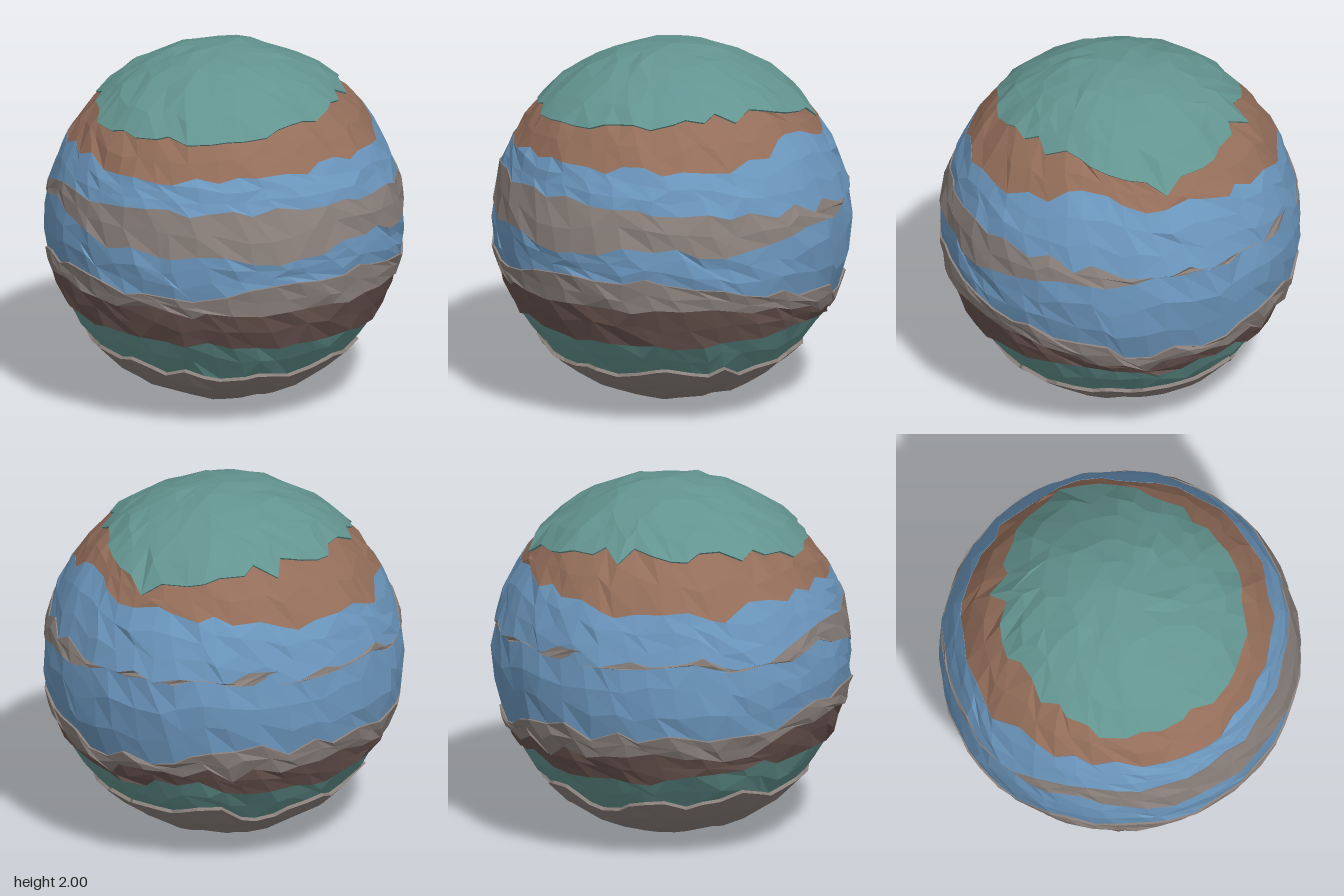
import * as THREE from 'three';

const COLS = 44;
const TAU = Math.PI * 2;

// Heights of the eight band edges, every 30 degrees round from the front towards +x
const EDGES = [
  [1.70, 1.52, 1.34, 1.06, 0.90, 0.77, 0.51, 0.28],
  [1.74, 1.53, 1.33, 1.13, 0.94, 0.76, 0.52, 0.31],
  [1.76, 1.50, 1.30, 1.08, 0.87, 0.76, 0.53, 0.32],
  [1.76, 1.61, 1.25, 1.13, 0.74, 0.64, 0.53, 0.27],
  [1.64, 1.55, 1.22, 1.20, 0.66, 0.57, 0.49, 0.28],
  [1.66, 1.53, 1.21, 1.20, 0.76, 0.64, 0.55, 0.36],
  [1.74, 1.46, 1.22, 1.21, 0.80, 0.64, 0.49, 0.27],
  [1.73, 1.45, 1.22, 1.20, 0.77, 0.66, 0.54, 0.33],
  [1.73, 1.48, 1.20, 1.16, 0.80, 0.68, 0.55, 0.36],
  [1.68, 1.50, 1.30, 1.20, 0.88, 0.80, 0.58, 0.36],
  [1.66, 1.50, 1.33, 1.10, 0.86, 0.76, 0.57, 0.35],
  [1.68, 1.49, 1.32, 1.09, 0.85, 0.75, 0.54, 0.31],
];

// Repeatable noise in -1..1 for a column, row and channel
function noise(j, row, channel) {
  const s = Math.sin(j * 127.1 + row * 311.7 + channel * 74.7) * 43758.5453;
  return (s - Math.floor(s)) * 2 - 1;
}

function edgeHeight(angle, k) {
  const t = (((angle / TAU) % 1) + 1) % 1 * 12;
  const i = Math.floor(t) % 12;
  return THREE.MathUtils.lerp(EDGES[i][k], EDGES[(i + 1) % 12][k], t - Math.floor(t));
}

function point(angle, lat, radius) {
  const h = Math.cos(lat) * radius;
  return new THREE.Vector3(Math.sin(angle) * h, 1 + Math.sin(lat) * radius, Math.cos(angle) * h);
}

export function createModel() {
  const paint = (name, color) => {
    const m = new THREE.MeshStandardMaterial({ color });
    m.name = name;
    return m;
  };
  const teal = paint('teal', 0x639490);
  const brown = paint('copper brown', 0x946e5a);
  const blue = paint('blue', 0x6c97be);
  const grey = paint('warm grey', 0x8a807b);
  const dark = paint('dark brown', 0x6a5550);

  // Bands from the top down: name, material, radius, rows of facets
  const bands = [
    ['topCap', teal, 0.995, 5],
    ['upperBrownBand', brown, 0.983, 2],
    ['upperBlueBand', blue, 0.985, 3],
    ['middleGreyBand', grey, 0.992, 2],
    ['lowerBlueBand', blue, 0.985, 3],
    ['lowerGreyBand', grey, 0.997, 2],
    ['darkBand', dark, 0.985, 2],
    ['lowerTealBand', teal, 0.972, 2],
    ['bottomCap', grey, 0.992, 5],
  ].map(([name, material, radius, rows]) => ({ name, material, radius, rows, verts: [] }));

  // Jagged edge lines as angle and latitude; each is turned a little from the last
  const lines = [];
  for (let k = 0; k <= bands.length; k++) {
    const line = [];
    for (let j = 0; j < COLS; j++) {
      const angle = (j + 0.28 * noise(j, k, 1)) / COLS * TAU + k * 0.1;
      let lat = k === 0 ? Math.PI / 2 : -Math.PI / 2;
      if (k > 0 && k < bands.length) {
        const jag = 0.024 + 0.012 * (1 - Math.cos(angle));
        lat = Math.asin(edgeHeight(angle, k - 1) + jag * noise(j, k, 2) - 1);
        lat = Math.min(lat, lines[k - 1][j].lat);
      }
      line.push({ angle, lat });
    }
    lines.push(line);
  }

  // Facet corner on a row of a band; columns merge in steps towards the poles
  function corner(b, row, col) {
    const { rows, radius } = bands[b];
    const fromPole = b === 0 ? row : b === bands.length - 1 ? rows - row : 9;
    const merge = fromPole <= 1 ? 4 : fromPole <= 3 ? 2 : 1;
    const j = (Math.floor(col / merge) * merge) % COLS;
    const a = lines[b][j], c = lines[b + 1][j];
    const inner = row > 0 && row < rows;
    const id = b * 10 + row;
    const t = row / rows + (inner ? 0.22 * noise(j, id, 3) / rows : 0);
    const gap = a.lat - c.lat;
    const angle = THREE.MathUtils.lerp(a.angle, c.angle, t) + (inner ? 0.035 * merge * noise(j, id, 4) : 0);
    const step = (radius - 0.985) * Math.min(1, gap / 0.06);
    const atPole = (b === 0 && row === 0) || (b === bands.length - 1 && row === rows);
    const bump = atPole ? 0 : 0.009 * noise(j, inner ? id : b * 10 + (row ? 10 : 0), 5);
    return point(angle, a.lat - gap * t, 0.985 + step + bump + (atPole ? 0.007 : 0));
  }

  function addTriangle(list, p, q, r) {
    const area = q.clone().sub(p).cross(r.clone().sub(p)).length();
    if (area > 1e-6) for (const v of [p, q, r]) list.push(v.x, v.y, v.z);
  }

  function addStrip(list, upper, lower, id) {
    for (let j = 0; j < COLS; j++) {
      const a = upper(j), b = upper(j + 1), c = lower(j), d = lower(j + 1);
      if (noise(j, id, 6) > -0.5) {
        addTriangle(list, a, c, d);
        addTriangle(list, a, d, b);
      } else {
        addTriangle(list, a, c, b);
        addTriangle(list, b, c, d);
      }
    }
  }

  bands.forEach((band, b) => {
    // Faceted surface of the band
    for (let row = 0; row < band.rows; row++) {
      addStrip(band.verts, (j) => corner(b, row, j), (j) => corner(b, row + 1, j), b * 10 + row);
    }
    // Ledge to the next band, in the colour of the one that stands out
    const next = bands[b + 1];
    if (next) {
      const owner = band.radius > next.radius ? band : next;
      addStrip(owner.verts, (j) => corner(b, band.rows, j), (j) => corner(b + 1, 0, j), b * 10 + 9);
    }
  });

  const planet = new THREE.Group();
  planet.name = 'bandedPlanet';
  for (const band of bands) {
    const geometry = new THREE.BufferGeometry();
    geometry.setAttribute('position', new THREE.Float32BufferAttribute(band.verts, 3));
    geometry.computeVertexNormals();
    const mesh = new THREE.Mesh(geometry, band.material);
    mesh.name = band.name;
    planet.add(mesh);
  }
  return planet;
}
